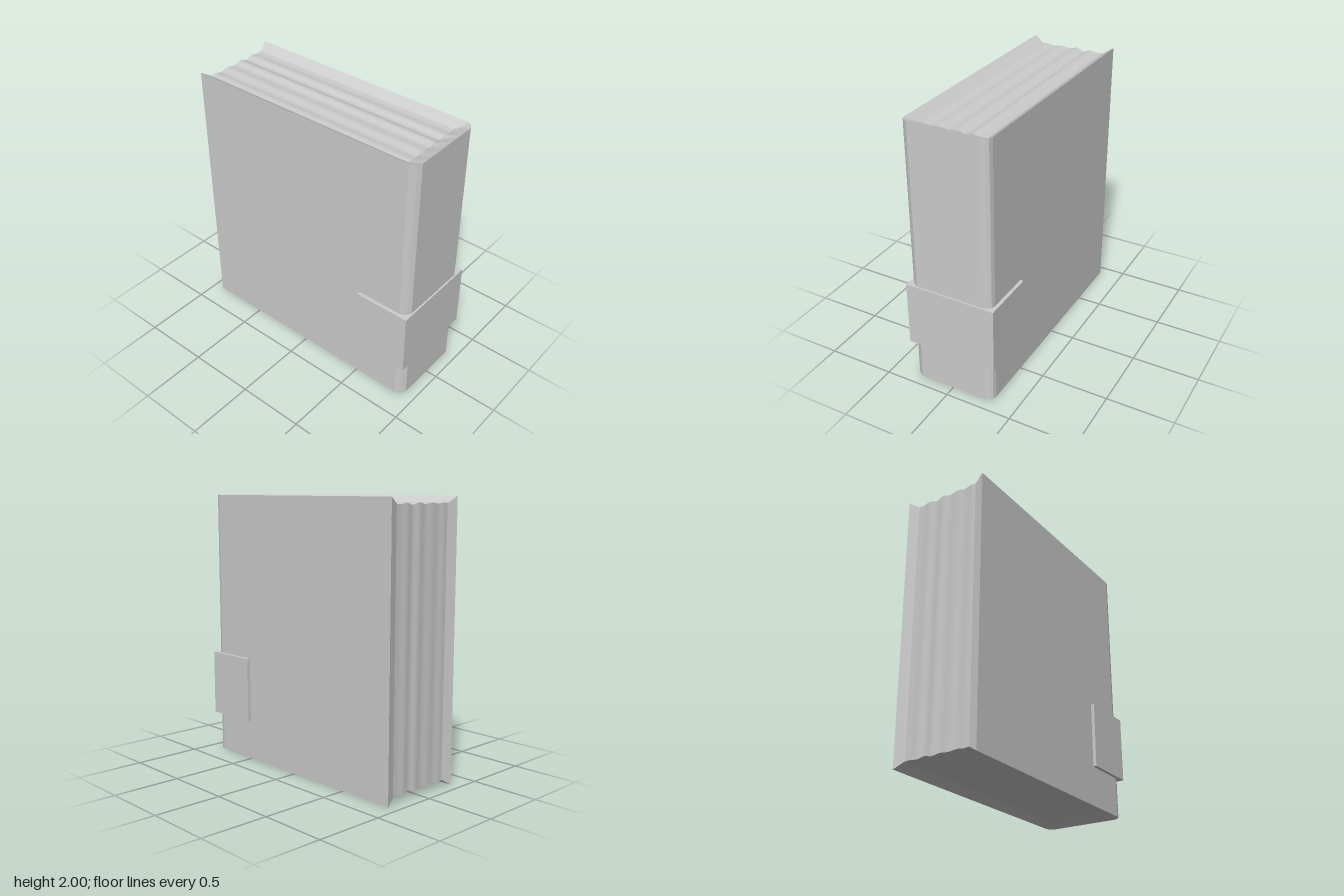
import * as THREE from 'three';

const H = 2;          // cover height
const INSET = 0.045;  // pages sit this far below the cover edges
const PAGE_X = 0.25, PAGE_FRONT = 0.8, PAGE_BACK = -0.9;
const N = 32;         // steps across the page waves

const V = (x, y, z) => new THREE.Vector3(x, y, z);
const material = (flatShading) =>
  new THREE.MeshStandardMaterial({ color: 0xcccccc, flatShading, side: THREE.DoubleSide });

// Skin between successive rows of points
function loft(name, rows, flat = true) {
  const pos = [], idx = [], w = rows[0].length;
  rows.forEach((row) => row.forEach((p) => pos.push(p.x, p.y, p.z)));
  const tri = (a, b, c) => {
    const p = [a, b, c].map((k) => rows[Math.floor(k / w)][k % w]);
    if (new THREE.Triangle(...p).getArea() > 1e-8) idx.push(a, b, c);
  };
  for (let i = 0; i < rows.length - 1; i++) {
    for (let j = 0; j < w - 1; j++) {
      const a = i * w + j, b = a + 1, c = b + w, d = a + w;
      tri(a, b, c);
      tri(a, c, d);
    }
  }
  const g = new THREE.BufferGeometry();
  g.setAttribute('position', new THREE.Float32BufferAttribute(pos, 3));
  g.setIndex(idx);
  g.computeVertexNormals();
  const mesh = new THREE.Mesh(g, material(flat));
  mesh.name = name;
  return mesh;
}

// Soft ripples across the thickness of the page block, zero at both ends
function wave(x) {
  const t = (x + PAGE_X) / (2 * PAGE_X);
  return Math.sin(t * Math.PI * 8) * (0.7 + 0.3 * Math.cos(t * 9)) * Math.sin(t * Math.PI) ** 0.5;
}
const clampX = (x) => THREE.MathUtils.clamp(x, -PAGE_X, PAGE_X);
const pageY = (x, top) => {
  const y = INSET - 0.009 * wave(clampX(x));
  return top ? H - y : y;
};
const pageZ = (x) => PAGE_BACK - 0.005 * wave(x);

export function createModel() {
  const book = new THREE.Group();
  book.name = 'book';

  // Footprint of boards and rounded spine, with the matching page edge inside it
  const side = [[0.323, -0.925, PAGE_BACK], [0.315, 0.85, PAGE_FRONT],
    [0.307, 0.88, PAGE_FRONT], [0.29, 0.895, PAGE_FRONT]];
  const foot = side.map(([x, z, pz]) => [-x, z, -PAGE_X, pz]);
  for (let i = 0; i <= N; i++) {
    const t = (i / N) * 2 - 1;
    foot.push([0.26 * t, 0.913, PAGE_X * t, PAGE_FRONT]);
  }
  side.slice().reverse().forEach(([x, z, pz]) => foot.push([x, z, PAGE_X, pz]));

  const outer = (y) => foot.map(([x, z]) => V(x, y, z));
  const inner = (top) => foot.map(([, , x, z]) => V(x, pageY(x, top), z));

  // Cover and its inward sloping edges
  const cover = new THREE.Group();
  cover.name = 'cover';
  cover.add(
    loft('boardsAndSpine', [outer(0), outer(H)]),
    loft('topCoverEdge', [outer(H), inner(true)]),
    loft('bottomCoverEdge', [inner(false), outer(0)]),
  );
  for (const s of [-1, 1]) {
    const edge = [V(s * 0.323, 0, -0.925), V(s * 0.323, H, -0.925)];
    const page = [V(s * PAGE_X, INSET, PAGE_BACK), V(s * PAGE_X, H - INSET, PAGE_BACK)];
    cover.add(loft(s < 0 ? 'rightBackEdge' : 'leftBackEdge', s < 0 ? [edge, page] : [page, edge]));
  }
  book.add(cover);

  // Rippled page block: top, back and bottom faces
  const xs = Array.from({ length: N + 1 }, (_, i) => ((i / N) * 2 - 1) * PAGE_X);
  const front = (top) => xs.map((x) => V(x, pageY(x, top), PAGE_FRONT));
  const back = (top) => xs.map((x) => V(x, pageY(x, top), pageZ(x)));
  const pages = new THREE.Group();
  pages.name = 'pages';
  pages.add(
    loft('pageTop', [front(true), back(true)], false),
    loft('pageForeEdge', [back(true), back(false)], false),
    loft('pageBottom', [back(false), front(false)], false),
  );
  book.add(pages);

  // Label band wrapped around the spine
  const label = new THREE.Mesh(new THREE.BoxGeometry(0.682, 0.485, 0.42), material(true));
  label.name = 'spineLabel';
  label.position.set(0, 0.538, 0.716);
  book.add(label);

  return book;
}
